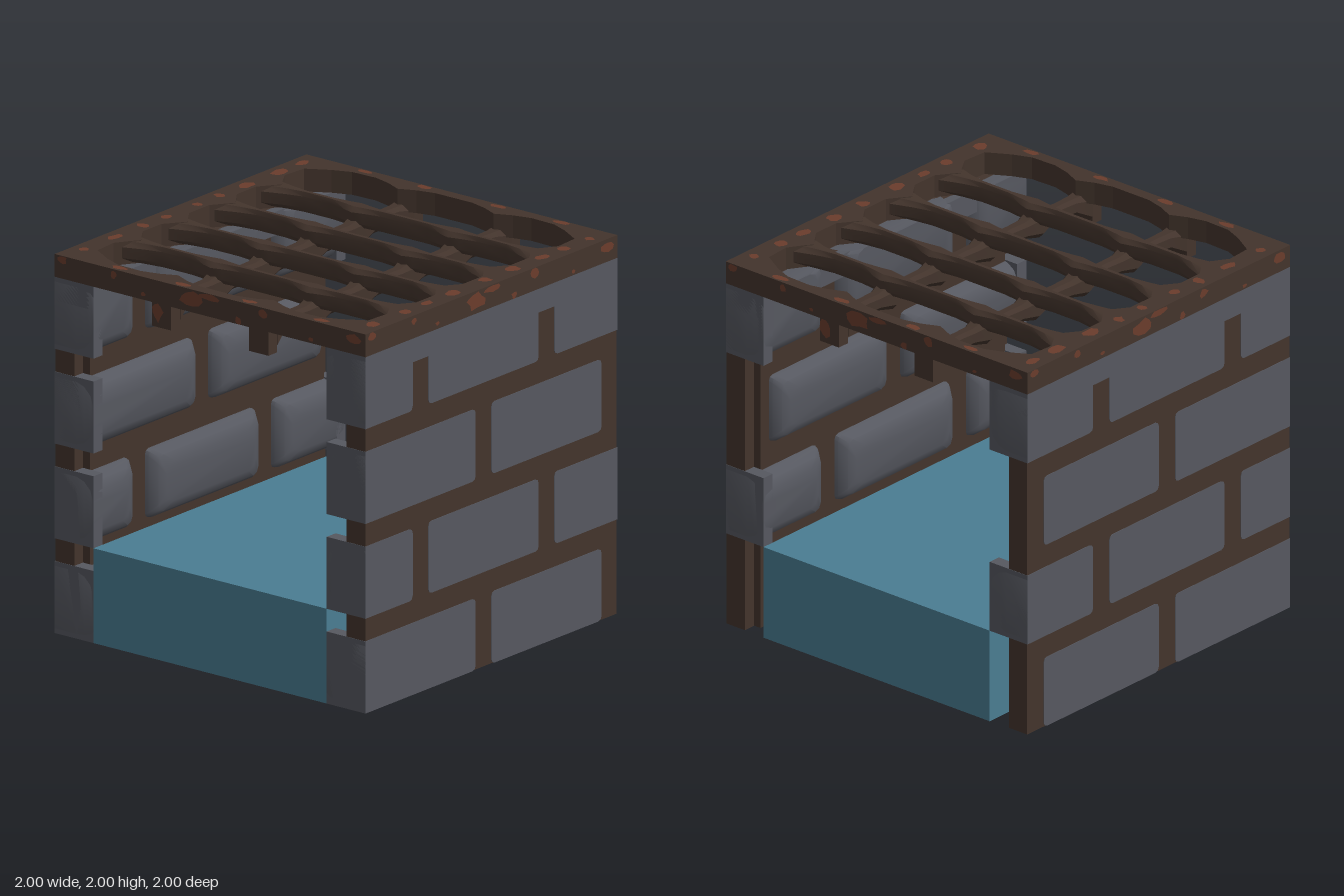
import * as THREE from 'three';
import { toCreasedNormals } from 'three/addons/utils/BufferGeometryUtils.js';

const mat = (name, color) => new THREE.MeshStandardMaterial({ name, color });

// Joins rings of points (counter-clockwise about the direction of travel) and caps both ends
function loft(rings, crease = 0.6) {
  const n = rings[0].length, pos = [], idx = [];
  rings.forEach(r => r.forEach(p => pos.push(...p)));
  for (let i = 0; i < rings.length - 1; i++)
    for (let j = 0; j < n; j++) {
      const a = i * n + j, b = i * n + (j + 1) % n;
      idx.push(a, b, b + n, a, b + n, a + n);
    }
  const last = (rings.length - 1) * n;
  for (let j = 1; j < n - 1; j++) idx.push(0, j + 1, j, last, last + j, last + j + 1);
  const g = new THREE.BufferGeometry();
  g.setAttribute('position', new THREE.Float32BufferAttribute(pos, 3));
  g.setIndex(idx);
  return toCreasedNormals(g, crease);
}

function add(group, name, geometry, material) {
  const m = new THREE.Mesh(geometry, material);
  m.name = name;
  group.add(m);
  return m;
}

// Box given by its limits
function span(x0, x1, y0, y1, z0, z1) {
  return new THREE.BoxGeometry(x1 - x0, y1 - y0, z1 - z0)
    .translate((x0 + x1) / 2, (y0 + y1) / 2, (z0 + z1) / 2);
}

// Brick with a flat outer face and a rounded inner face
function brickGeometry(z0, z1, y0, y1) {
  const profile = [[1, 0], [0.86, 0], [0.81, 0.012], [0.77, 0.04], [0.75, 0.085]];
  return loft(profile.map(([x, inset]) => {
    const a = z0 <= -1 ? z0 : z0 + inset, b = z1 >= 1 ? z1 : z1 - inset;
    const c = y0 <= 0 ? y0 : y0 + inset, d = y1 > 1.8 ? y1 : y1 - inset;
    const r = 0.025 + inset * 0.4, ring = [];
    [[b - r, d - r], [a + r, d - r], [a + r, c + r], [b - r, c + r]].forEach(([z, y], q) => {
      for (let k = 0; k < 3; k++) {
        const t = (q + k / 2) * Math.PI / 2;
        ring.push([x, y + r * Math.sin(t), z + r * Math.cos(t)]);
      }
    });
    return ring;
  }));
}

// One wall on the +x side; flip reverses the brick pattern along z
function buildWall(flip, brick, mortar) {
  const wall = new THREE.Group();
  add(wall, 'mortar', span(0.875, 0.997, 0.002, 1.88, -0.998, 0.998), mortar);
  add(wall, 'innerMortar', span(0.83, 0.9, 0.004, 1.88, -0.93, 0.93), mortar);
  const evenRow = [[0.125, 1], [-0.875, 0]];
  const oddRow = [[0.625, 1], [-0.375, 0.5], [-1, -0.5]];
  for (let row = 0; row < 4; row++) {
    const y0 = row * 0.5, y1 = y0 + 0.38;
    for (const [a, b] of row % 2 ? oddRow : evenRow) {
      const z0 = Math.min(a * flip, b * flip), z1 = Math.max(a * flip, b * flip);
      add(wall, 'brick', brickGeometry(z0, z1, y0, y1), brick);
      // Square brick ends at the tunnel mouths
      if (z1 >= 1) add(wall, 'brickEnd', span(0.75, 1, y0, y1, 0.93, 1), brick);
      if (z0 <= -1) add(wall, 'brickEnd', span(0.75, 1, y0, y1, -1, -0.93), brick);
    }
  }
  add(wall, 'topCourse', span(0.78, 1, 1.755, 1.88, -1, 1), brick);
  return wall;
}

// Eight-sided cross-section in two half sizes
function octagon(h, v) {
  const k = 0.55;
  return [[h, -v * k], [h, v * k], [h * k, v], [-h * k, v], [-h, v * k], [-h, -v * k], [-h * k, -v], [h * k, -v]];
}

function buildGrate(metal) {
  const grate = new THREE.Group();
  grate.name = 'grate';

  // Outer frame with a scalloped opening
  const quarter = [[0.88, 0], [0.88, 0.08], [0.83, 0.15], [0.8, 0.19], [0.83, 0.23], [0.88, 0.3], [0.88, 0.45],
    [0.83, 0.52], [0.8, 0.56], [0.83, 0.6], [0.88, 0.68], [0.87, 0.82], [0.75, 0.89], [0.65, 0.93], [0.5, 0.935],
    [0.4, 0.91], [0.31, 0.87], [0.22, 0.91], [0.12, 0.935], [0, 0.935]];
  const back = [...quarter].reverse();
  const hole = [
    ...quarter,
    ...back.slice(1).map(([x, z]) => [-x, z]),
    ...quarter.slice(1).map(([x, z]) => [-x, -z]),
    ...back.slice(1, -1).map(([x, z]) => [x, -z])
  ].map(p => new THREE.Vector2(...p));
  const shape = new THREE.Shape([[-1, -1], [1, -1], [1, 1], [-1, 1]].map(p => new THREE.Vector2(...p)));
  shape.holes.push(new THREE.Path(hole));
  const frame = new THREE.ExtrudeGeometry(shape, { depth: 0.12, bevelEnabled: false });
  add(grate, 'frame', frame.rotateX(-Math.PI / 2).translate(0, 1.88, 0), metal);

  // Cross bars, thick where they meet the frame and the long bars
  const half = [[0, 0.018], [0.15, 0.018], [0.25, 0.04], [0.31, 0.058], [0.37, 0.04], [0.47, 0.018],
    [0.65, 0.018], [0.75, 0.045], [0.87, 0.09]];
  const full = [...half.slice(1).reverse().map(([x, w]) => [-x, w]), ...half];
  for (const z of [-0.56, -0.19, 0.185, 0.557])
    add(grate, 'crossBar', loft(full.map(([x, w]) =>
      octagon(0.053, w).map(([y, dz]) => [x, 1.943 + y, z + dz]))), metal);

  // Long bars beneath, with square ends that show as teeth
  const crossings = [-0.93, -0.56, -0.19, 0.185, 0.557, 0.93];
  for (const x of [-0.3125, 0.3125]) {
    const rings = [];
    crossings.forEach((z, i) => {
      const end = i === 0 || i === 5;
      rings.push(octagon(0.065, end ? 0.08 : 0.07).map(([dx, dy]) => [x + dx, (end ? 1.84 : 1.875) + dy, z]));
      if (i < 5) for (const t of [0.25, 0.5, 0.75]) {
        const w = t === 0.5 ? 0.032 : 0.039;
        const zz = z + (crossings[i + 1] - z) * t;
        rings.push(octagon(w, 0.045).map(([dx, dy]) => [x + dx, 1.87 + dy, zz]));
      }
    });
    add(grate, 'longBar', loft(rings), metal);
    for (const z of [-0.965, 0.965])
      add(grate, 'barTooth', span(x - 0.0625, x + 0.0625, 1.755, 1.9, z - 0.035, z + 0.035), metal);
  }
  return grate;
}

let seed = 7;
const rand = () => (seed = (seed * 16807) % 2147483647) / 2147483647;

// Irregular flat patch held within the limits of its strip
function patchGeometry(u, v, w, h, [u0, u1, v0, v1]) {
  const pts = [];
  for (let i = 0; i < 9; i++) {
    const t = i / 9 * Math.PI * 2, r = 0.38 + rand() * 0.25;
    pts.push(new THREE.Vector2(
      THREE.MathUtils.clamp(u + Math.cos(t) * w * r, u0, u1),
      THREE.MathUtils.clamp(v + Math.sin(t) * h * r, v0, v1)));
  }
  return new THREE.ShapeGeometry(new THREE.Shape(pts));
}

function buildRust(rust) {
  const group = new THREE.Group();
  group.name = 'rustPatches';
  // Same patches on all four edges
  const edge = [[-0.95, 1.98, 0.06, 0.04], [-0.62, 1.97, 0.04, 0.04], [-0.43, 1.91, 0.03, 0.02],
    [-0.12, 1.945, 0.14, 0.08], [0, 1.98, 0.13, 0.035], [0.18, 1.9, 0.04, 0.04], [0.34, 1.97, 0.06, 0.05],
    [0.65, 1.9, 0.03, 0.02], [0.92, 1.96, 0.09, 0.05]];
  for (let side = 0; side < 4; side++) {
    for (const p of edge)
      add(group, 'edgeRust', patchGeometry(...p, [-1, 1, 1.88, 2]).translate(0, 0, 1.002)
        .rotateY(side * Math.PI / 2), rust);
    if (side % 2 === 0)
      add(group, 'toothRust', patchGeometry(-0.34, 1.84, 0.07, 0.1, [-0.375, -0.25, 1.755, 1.88])
        .translate(0, 0, 1.002).rotateY(side * Math.PI / 2), rust);
  }
  // Top of the frame
  const top = (u, v, w, h, lim) =>
    add(group, 'topRust', patchGeometry(u, v, w, h, lim).rotateX(-Math.PI / 2).translate(0, 2.002, 0), rust);
  for (const s of [-1, 1])
    for (let i = 0; i < 9; i++) {
      const t = -0.9 + i * 0.22 + rand() * 0.08;
      top(s * 0.93, t, 0.05 + rand() * 0.03, 0.05 + rand() * 0.06, s > 0 ? [0.885, 1, -1, 1] : [-1, -0.885, -1, 1]);
      if (i % 2) top(t, s * 0.97, 0.09, 0.04, s > 0 ? [-1, 1, 0.94, 1] : [-1, 1, -1, -0.94]);
    }
  return group;
}

export function createModel() {
  const brick = mat('brickGrey', 0x565860);
  const brown = mat('darkBrown', 0x43342c);
  const rust = mat('rust', 0x6b3c2c);
  const blue = mat('waterBlue', 0x4a7d92);

  const model = new THREE.Group();
  model.name = 'grateTunnel';

  const left = buildWall(1, brick, brown);
  left.name = 'leftWall';
  const right = buildWall(-1, brick, brown);
  right.name = 'rightWall';
  right.rotation.y = Math.PI;
  model.add(left, right);

  add(model, 'water', span(-0.75, 0.75, 0, 0.5, -1, 1), blue);
  model.add(buildGrate(brown), buildRust(rust));
  return model;
}
